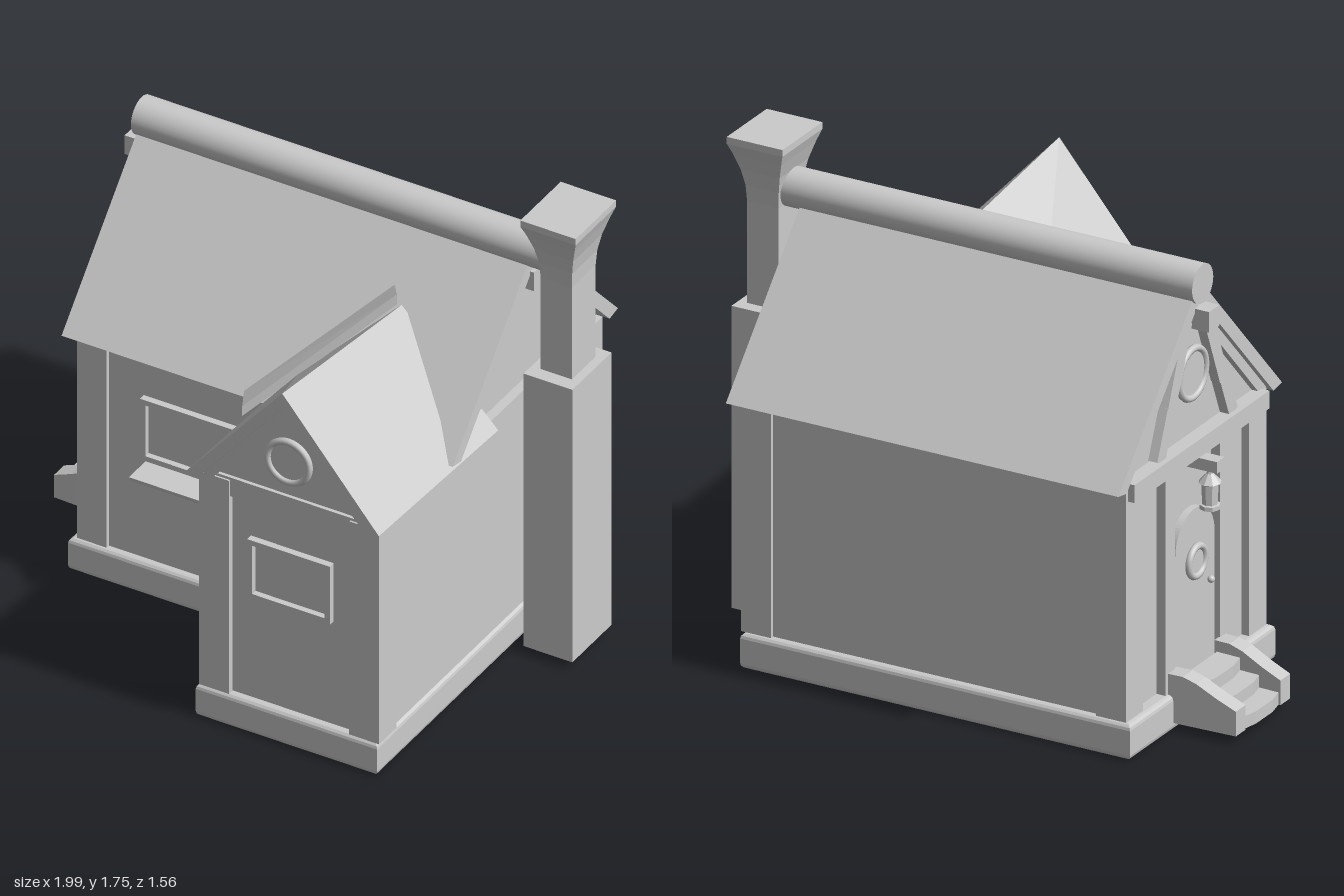
import * as THREE from 'three';

const mat = new THREE.MeshStandardMaterial({ color: 0xcccccc, flatShading: true });
const smooth = new THREE.MeshStandardMaterial({ color: 0xcccccc });

function add(parent, name, geo, m = mat) {
  const mesh = new THREE.Mesh(geo, m);
  mesh.name = name;
  parent.add(mesh);
  return mesh;
}

function box(parent, name, x0, x1, y0, y1, z0, z1) {
  const g = new THREE.BoxGeometry(x1 - x0, y1 - y0, z1 - z0);
  return add(parent, name, g.translate((x0 + x1) / 2, (y0 + y1) / 2, (z0 + z1) / 2));
}

// Closed solid through convex cross-sections; turned outward by its signed volume
function loft(rings) {
  const n = rings[0].length, tris = [];
  for (let r = 0; r < rings.length - 1; r++) {
    for (let i = 0; i < n; i++) {
      const j = (i + 1) % n, a = rings[r], b = rings[r + 1];
      tris.push([a[i], a[j], b[j]], [a[i], b[j], b[i]]);
    }
  }
  const first = rings[0], last = rings[rings.length - 1];
  for (let i = 1; i < n - 1; i++) {
    tris.push([first[0], first[i + 1], first[i]], [last[0], last[i], last[i + 1]]);
  }
  const v = p => new THREE.Vector3(...p);
  const volume = tris.reduce((s, t) => s + v(t[0]).dot(v(t[1]).cross(v(t[2]))), 0);
  if (volume < 0) tris.forEach(t => t.reverse());
  const g = new THREE.BufferGeometry();
  g.setAttribute('position', new THREE.Float32BufferAttribute(tris.flat(2), 3));
  g.computeVertexNormals();
  return g;
}

// Flat outline extruded from z0 to z1
function slab(points, z0, z1) {
  const s = new THREE.Shape(points.map(p => new THREE.Vector2(...p)));
  return new THREE.ExtrudeGeometry(s, { depth: z1 - z0, bevelEnabled: false }).translate(0, 0, z0);
}

// Straight timber in the xy plane
function beam(parent, name, a, b, w, z0, z1) {
  const dx = b[0] - a[0], dy = b[1] - a[1], k = w / 2 / Math.hypot(dx, dy);
  const ox = -dy * k, oy = dx * k;
  add(parent, name, slab([[a[0] + ox, a[1] + oy], [a[0] - ox, a[1] - oy],
    [b[0] - ox, b[1] - oy], [b[0] + ox, b[1] + oy]], z0, z1));
}

function rectWindow(parent, x0, x1, y0, y1, z) {
  const f = 0.02;
  const s = new THREE.Shape([[x0, y0], [x1, y0], [x1, y1], [x0, y1]].map(p => new THREE.Vector2(...p)));
  s.holes.push(new THREE.Path([[x0 + f, y0 + f], [x0 + f, y1 - f], [x1 - f, y1 - f], [x1 - f, y0 + f]]
    .map(p => new THREE.Vector2(...p))));
  add(parent, 'windowFrame', new THREE.ExtrudeGeometry(s, { depth: 0.03, bevelEnabled: false }).translate(0, 0, z));
  box(parent, 'windowPane', x0 + f, x1 - f, y0 + f, y1 - f, z - 0.01, z + 0.008);
}

function roundWindow(parent, x, y, z, r) {
  add(parent, 'roundWindowFrame', new THREE.TorusGeometry(r - 0.012, 0.013, 8, 32).translate(x, y, z), smooth);
  add(parent, 'roundWindowPane', new THREE.CylinderGeometry(r - 0.012, r - 0.012, 0.02, 32)
    .rotateX(Math.PI / 2).translate(x, y, z - 0.008));
}

export function createModel() {
  const house = new THREE.Group();
  house.name = 'cottage';

  // L-shaped foundation with softened edges
  const plan = [[-0.755, 0.72], [-0.755, -0.24], [0.045, -0.24], [0.045, -0.76], [0.745, -0.76], [0.745, 0.72]];
  const foot = new THREE.ExtrudeGeometry(new THREE.Shape(plan.map(p => new THREE.Vector2(...p))),
    { depth: 0.09, bevelEnabled: true, bevelSize: 0.02, bevelThickness: 0.02, bevelOffset: -0.02, bevelSegments: 3 });
  add(house, 'foundation', foot.rotateX(-Math.PI / 2).translate(0, 0.02, 0));

  // Walls
  box(house, 'mainWalls', -0.7, 0.735, 0.13, 0.98, -0.69, 0.21);
  box(house, 'wingWalls', 0.07, 0.735, 0.13, 0.965, 0.1, 0.73);

  // Corner posts
  const posts = [[-0.73, -0.615, -0.705, -0.59], [-0.73, -0.615, 0.11, 0.225],
    [0.635, 0.75, -0.705, -0.585], [0.055, 0.17, 0.64, 0.755], [0.635, 0.75, 0.64, 0.755]];
  for (const [x0, x1, z0, z1] of posts) box(house, 'cornerPost', x0, x1, 0.13, 0.99, z0, z1);

  // Main roof, two slopes mirrored about the ridge line
  for (const s of [-1, 1]) {
    const ring = x => [[0, 1.565], [0.54, 0.985], [0.485, 0.975], [0, 1.495]].map(([d, y]) => [x, y, -0.24 + s * d]);
    add(house, 'mainRoofSlope', loft([ring(-0.745), ring(0.765)]));
  }
  add(house, 'ridgeLog', new THREE.CylinderGeometry(0.07, 0.07, 1.62, 32)
    .rotateZ(Math.PI / 2).translate(0.055, 1.555, -0.24), new THREE.MeshStandardMaterial({ color: 0xcccccc }));
  box(house, 'ridgeBeam', -0.8, 0.78, 1.4, 1.475, -0.275, -0.205);

  // Wing roof, its ridge dropping toward the main roof
  for (const s of [-1, 1]) {
    const ring = (z, top, eave) => [[0, top], [0.373, eave], [0.33, eave - 0.01], [0, top - 0.06]]
      .map(([d, y]) => [0.391 + s * d, y, z]);
    add(house, 'wingRoofSlope', loft([ring(0.78, 1.435, 0.99), ring(0.0, 1.33, 0.955)]));
    // boards under the wing gable
    beam(house, 'wingBargeBoard', [0.391 + s * 0.315, 0.99], [0.391, 1.345], 0.055, 0.7, 0.755);
  }
  const edge = (a, b) => [a, b, [b[0], b[1] - 0.04, b[2]], [a[0], a[1] - 0.04, a[2]]];
  add(house, 'valleyBoard', loft([edge([-0.04, 1.01, 0.3], [0, 1.01, 0.38]),
    edge([0.34, 1.37, -0.04], [0.39, 1.39, 0.03])]));

  // Wing front
  add(house, 'wingGable', slab([[0.06, 0.96], [0.72, 0.96], [0.391, 1.355]], 0.66, 0.735));
  box(house, 'wingTieBeam', 0.1, 0.69, 0.925, 1.0, 0.7, 0.748);
  roundWindow(house, 0.393, 1.137, 0.742, 0.092);
  rectWindow(house, 0.24, 0.56, 0.545, 0.78, 0.725);

  // Main front window with planter
  rectWindow(house, -0.48, -0.11, 0.54, 0.785, 0.205);
  const shelf = (y, x, z) => [[-0.29 - x, y, 0.2], [-0.29 + x, y, 0.2], [-0.29 + x, y, z], [-0.29 - x, y, z]];
  add(house, 'planter', loft([shelf(0.465, 0.115, 0.26), shelf(0.485, 0.15, 0.29),
    shelf(0.51, 0.175, 0.32), shelf(0.525, 0.18, 0.325)]));

  // Main gable ends
  const gable = [[-0.71, 0.96], [0.23, 0.96], [-0.24, 1.485]];
  for (const [a, b] of [[0.64, 0.7], [-0.7, -0.64]]) {
    add(house, 'mainGable', slab(gable, a, b)).rotation.y = -Math.PI / 2;
  }

  // Entrance side, built facing +z and turned to face -x
  const side = new THREE.Group();
  side.name = 'entranceSide';
  side.rotation.y = -Math.PI / 2;
  house.add(side);
  box(side, 'tieBeam', -0.69, 0.2, 0.93, 0.995, 0.68, 0.755);
  for (const s of [-1, 1]) {
    const at = d => -0.24 + s * d;
    box(side, 'doorPost', Math.min(at(0.15), at(0.21)), Math.max(at(0.15), at(0.21)), 0.13, 0.93, 0.69, 0.735);
    beam(side, 'gableBrace', [at(0.24), 0.99], [at(0.17), 1.16], 0.055, 0.69, 0.735);
    beam(side, 'gableBrace', [at(0.175), 1.14], [at(0.06), 1.43], 0.055, 0.69, 0.735);
    beam(side, 'gableRafter', [at(0.46), 0.985], [at(0.02), 1.46], 0.05, 0.69, 0.725);
  }
  roundWindow(side, -0.24, 1.22, 0.715, 0.1);
  const door = new THREE.Shape();
  door.moveTo(-0.37, 0.13).lineTo(-0.11, 0.13).lineTo(-0.11, 0.6);
  door.absarc(-0.24, 0.6, 0.13, 0, Math.PI, false);
  add(side, 'door', new THREE.ExtrudeGeometry(door, { depth: 0.04, bevelEnabled: false, curveSegments: 16 })
    .translate(0, 0, 0.685));
  roundWindow(side, -0.24, 0.54, 0.732, 0.065);
  add(side, 'doorKnob', new THREE.SphereGeometry(0.013, 12, 8).translate(-0.15, 0.44, 0.735), smooth);

  // Lantern hung from a bracket
  box(side, 'lanternBracket', -0.265, -0.215, 0.888, 0.93, 0.69, 0.825);
  const lamp = [[0, 0.745], [0.036, 0.745], [0.036, 0.76], [0.027, 0.762], [0.03, 0.835],
    [0.04, 0.84], [0.012, 0.872], [0.008, 0.89], [0, 0.89]].map(p => new THREE.Vector2(...p));
  add(side, 'lantern', new THREE.LatheGeometry(lamp, 8).translate(-0.24, 0, 0.783));

  // Steps and their sloping side walls
  for (let i = 0; i < 3; i++) {
    const y = 0.075 + i * 0.045, z = 0.995 - i * 0.075;
    const ring = h => [[-0.37, h, 0.74], [-0.12, h, 0.74], [-0.12, h, z - 0.015],
      [-0.19, h, z], [-0.3, h, z], [-0.37, h, z - 0.015]];
    add(side, 'step', loft([ring(0.03), ring(y)]));
  }
  const cheek = [[0.73, 0.03], [0.99, 0.03], [0.99, 0.12], [0.92, 0.15], [0.84, 0.19], [0.79, 0.205], [0.73, 0.205]];
  for (const s of [-1, 1]) {
    const ring = d => cheek.map(([z, y]) => [-0.245 + s * (d - (z - 0.73) * 0.04), y, z]);
    add(side, 'stepCheek', loft([ring(0.125), ring(0.19)]));
  }

  // Chimney: wide stack, narrow shaft and flared cap
  box(house, 'chimneyBase', 0.797, 0.985, 0.03, 1.13, -0.365, -0.11);
  const rect = (y, w, d) => [[-w, -d], [w, -d], [w, d], [-w, d]].map(([x, z]) => [0.892 + x, y, -0.24 + z]);
  add(house, 'chimneyShaft', loft([rect(1.12, 0.06, 0.078), rect(1.5, 0.06, 0.078), rect(1.56, 0.064, 0.082),
    rect(1.62, 0.075, 0.095), rect(1.68, 0.093, 0.115), rect(1.72, 0.107, 0.132), rect(1.745, 0.107, 0.132)]));

  return house;
}
